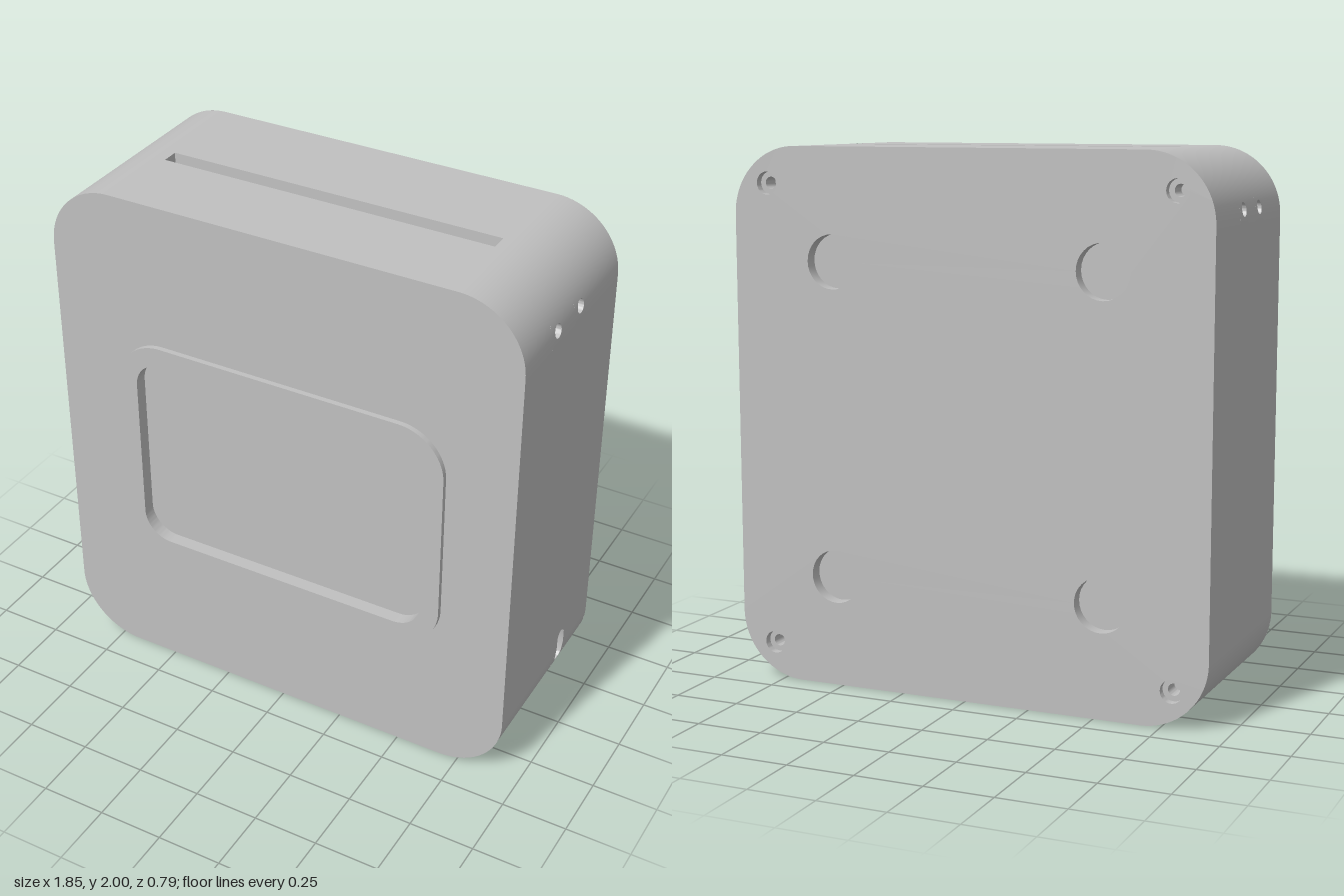
import * as THREE from 'three';
import { toCreasedNormals } from 'three/addons/utils/BufferGeometryUtils.js';

const W = 0.925, R = 0.25, BACK = -0.395, FRONT = 0.375;
const SX = W - R, SY = 1 - R;             // where the straight edges end
const S_MAX = SY + R * Math.PI / 2;       // half the unrolled length of one side
const N = 32;

const grey = new THREE.MeshStandardMaterial({ color: 0xc0c0c0, side: THREE.DoubleSide });
grey.name = 'grey plastic';

const clamp = THREE.MathUtils.clamp;
const lerp = THREE.MathUtils.lerp;

// Grid surface from a rule f(u, v) -> [x, y, z]
function sheet(f, nu, nv, rounded = false) {
  const pos = [], idx = [];
  for (let j = 0; j <= nv; j++) for (let i = 0; i <= nu; i++) pos.push(...f(i / nu, j / nv));
  for (let j = 0; j < nv; j++) for (let i = 0; i < nu; i++) {
    const a = j * (nu + 1) + i, b = a + 1, c = b + nu + 1, d = a + nu + 1;
    idx.push(a, b, c, a, c, d);
  }
  const g = new THREE.BufferGeometry();
  g.setAttribute('position', new THREE.Float32BufferAttribute(pos, 3));
  g.setIndex(idx);
  if (!rounded) return toCreasedNormals(g, 0.6);
  // exact normals of the rounded outline
  const normals = [];
  for (let i = 0; i < pos.length; i += 3) {
    const x = pos[i] - clamp(pos[i], -SX, SX), y = pos[i + 1] - clamp(pos[i + 1], R, 2 - R);
    const l = Math.hypot(x, y);
    normals.push(x / l, y / l, 0);
  }
  g.setAttribute('normal', new THREE.Float32BufferAttribute(normals, 3));
  return g;
}

// Closed outlines in surface coordinates, u = 0..1 around
const rect = (a0, a1, b0, b1) => u => {
  const c = Math.cos(u * 2 * Math.PI), s = Math.sin(u * 2 * Math.PI);
  const m = Math.max(Math.abs(c), Math.abs(s));
  return [(a0 + a1) / 2 + (a1 - a0) / 2 * c / m, (b0 + b1) / 2 + (b1 - b0) / 2 * s / m];
};
const stadium = (a, b, half, r) => u => {
  const c = Math.cos(u * 2 * Math.PI), s = Math.sin(u * 2 * Math.PI);
  return [a + (half - r) * clamp(c * 5.2, -1, 1) + r * c, b + r * s];
};
const point = (a, b) => () => [a, b];

// Surface between two outlines, from depth d0 to d1
function band(surface, p, q, d0, d1, nv = 1, rounded = false) {
  return sheet((u, v) => {
    const A = p(u), B = q(u);
    return surface(lerp(A[0], B[0], v), lerp(A[1], B[1], v), lerp(d0, d1, v));
  }, N, nv, rounded);
}

function roundRect(hx, hy, cy, r, Type) {
  const s = new Type();
  s.absarc(hx - r, cy + hy - r, r, 0, Math.PI / 2);
  s.absarc(-hx + r, cy + hy - r, r, Math.PI / 2, Math.PI);
  s.absarc(-hx + r, cy - hy + r, r, Math.PI, Math.PI * 1.5);
  s.absarc(hx - r, cy - hy + r, r, Math.PI * 1.5, Math.PI * 2);
  s.closePath();
  return s;
}

export function createModel() {
  const model = new THREE.Group();
  model.name = 'wallEnclosure';
  const add = (name, geometry, z = 0) => {
    const m = new THREE.Mesh(geometry, grey);
    m.name = name;
    m.position.z = z;
    model.add(m);
    return m;
  };
  const pocket = (name, surface, path, a, b, d0, d1) => {
    add(name + 'Wall', band(surface, path, path, d0, d1));
    add(name + 'Floor', band(surface, path, point(a, b), d1, d1));
  };

  // Front face with raised screen bezel and sunken screen
  const face = roundRect(W, 1, 1, R, THREE.Shape);
  face.holes.push(roundRect(0.66, 0.468, 0.972, 0.18, THREE.Path));
  add('frontFace', new THREE.ShapeGeometry(face, 16), FRONT);
  const bezel = roundRect(0.66, 0.468, 0.972, 0.18, THREE.Shape);
  bezel.holes.push(roundRect(0.588, 0.395, 0.972, 0.11, THREE.Path));
  const bezelGeo = new THREE.ExtrudeGeometry(bezel, { depth: 0.05, bevelEnabled: false, curveSegments: 12 });
  add('screenBezel', toCreasedNormals(bezelGeo, 0.6), 0.345);
  add('screen', new THREE.ShapeGeometry(roundRect(0.588, 0.395, 0.972, 0.11, THREE.Shape), 12), 0.345);

  // Back face with magnet pockets and stepped screw holes
  const back = roundRect(W, 1, 1, R, THREE.Shape);
  const backSurface = (a, b, d) => [-a, b, BACK + d];
  for (const sx of [-1, 1]) for (const sy of [-1, 1]) {
    const holes = [[0.525 * sx, 1 + 0.585 * sy, 0.1], [0.79 * sx, 1 + 0.865 * sy, 0.042]];
    for (const [a, b, r] of holes) {
      back.holes.push(new THREE.Path().absarc(a, b, r, 0, Math.PI * 2, true));
    }
    const [[ma, mb, mr], [a, b, r]] = holes;
    pocket('magnetPocket', backSurface, stadium(ma, mb, mr, mr), ma, mb, 0, 0.05);
    const wide = stadium(a, b, r, r), narrow = stadium(a, b, 0.022, 0.022);
    add('screwCounterbore', band(backSurface, wide, wide, 0, 0.03));
    add('screwSeat', band(backSurface, wide, narrow, 0.03, 0.03));
    pocket('screwHole', backSurface, narrow, a, b, 0.03, 0.1);
  }
  add('backFace', new THREE.ShapeGeometry(back, 16), BACK).rotation.y = Math.PI;

  // Top and bottom with the tapered slot running through
  const topSlot = rect(-0.65, 0.65, -0.05, 0.015), lowSlot = rect(-0.65, 0.65, -0.028, -0.005);
  add('topFace', band((a, b) => [a, 2, -b], rect(-SX, SX, -FRONT, -BACK), topSlot, 0, 0));
  add('bottomFace', band((a, b) => [a, 0, b], rect(-SX, SX, BACK, FRONT),
    rect(-0.65, 0.65, 0.005, 0.028), 0, 0));
  add('slotTunnel', band((a, b, d) => [a, 2 - d, -b], topSlot, lowSlot, 0, 2));

  // Sides wrapped round the corners, with vent holes and one port
  for (const side of [1, -1]) {
    const surface = (a, b, d = 0) => {
      const s = a * side, t = Math.max(Math.abs(s) - SY, 0) / R;
      const y = Math.min(Math.abs(s), SY) + R * Math.sin(t);
      return [side * (SX + R * Math.cos(t) - d), 1 + Math.sign(s) * y, b];
    };
    const panel = (s0, s1, z0, z1, n) => {
      const a0 = Math.min(s0 * side, s1 * side), a1 = Math.max(s0 * side, s1 * side);
      add('sidePanel', sheet((u, v) => surface(lerp(a0, a1, u), lerp(z0, z1, v)), n, 1, true));
    };
    const opening = (name, s, z, half, r, s0, s1, z0, z1) => {
      const hole = stadium(s * side, z, half, r);
      const frame = rect(Math.min(s0 * side, s1 * side), Math.max(s0 * side, s1 * side), z0, z1);
      add(name + 'Frame', band(surface, frame, hole, 0, 0, 3, true));
      pocket(name, surface, hole, s * side, z, 0, 0.06);
    };
    panel(-S_MAX, -0.86, BACK, FRONT, 14);
    panel(-0.86, -0.65, BACK, -0.2, 8);
    panel(-0.86, -0.65, -0.09, FRONT, 8);
    if (side > 0) opening('port', -0.753, -0.145, 0.073, 0.03, -0.86, -0.65, -0.2, -0.09);
    else panel(-0.86, -0.65, -0.2, -0.09, 8);
    panel(-0.65, 0.74, BACK, FRONT, 2);
    panel(0.74, 0.84, BACK, -0.12, 4);
    panel(0.74, 0.84, -0.02, 0.065, 4);
    panel(0.74, 0.84, 0.165, FRONT, 4);
    for (const z of [-0.07, 0.115]) opening('vent', 0.79, z, 0.026, 0.026, 0.74, 0.84, z - 0.05, z + 0.05);
    panel(0.84, S_MAX, BACK, FRONT, 14);
  }
  return model;
}
